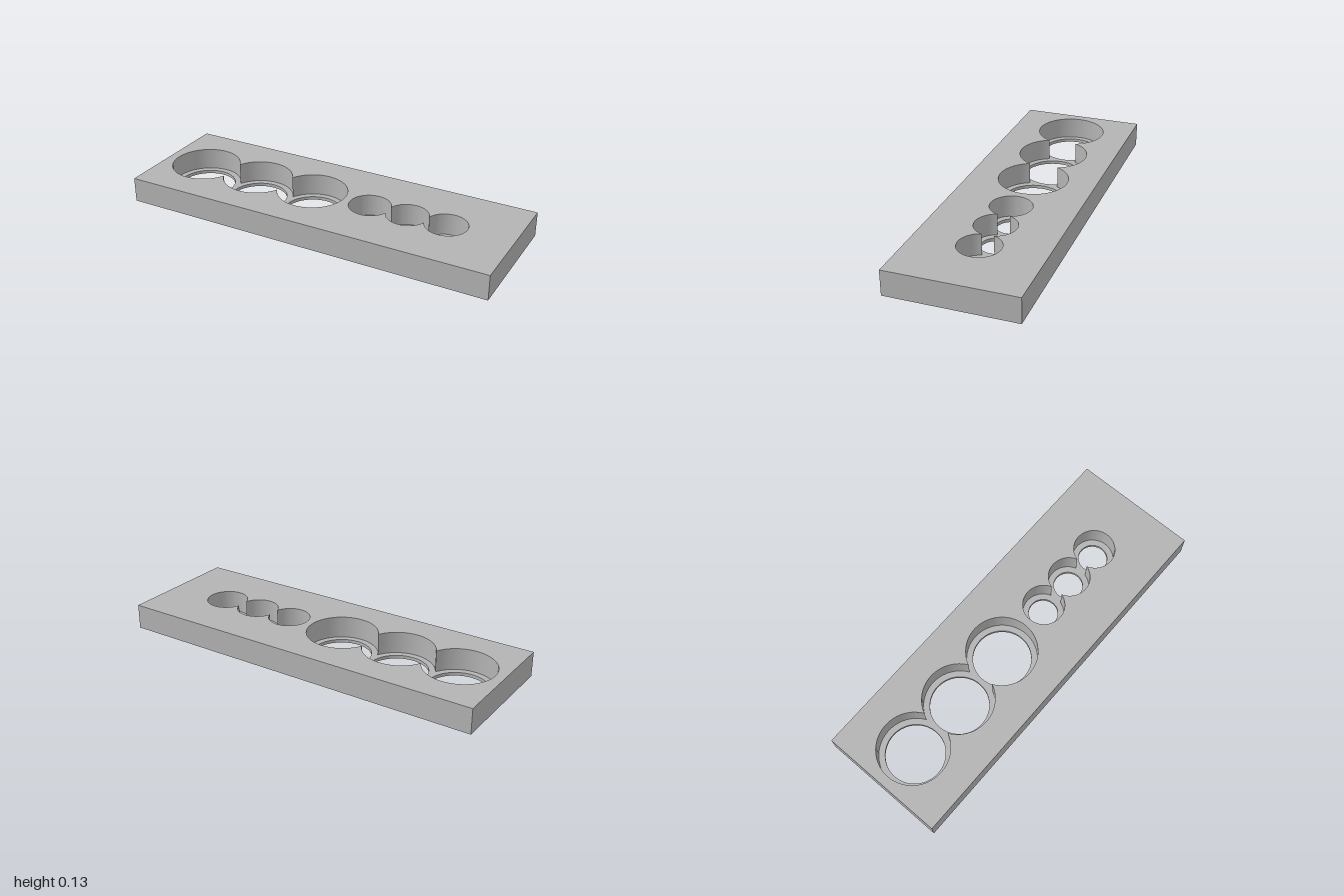
import * as THREE from 'three';
import { mergeGeometries, toCreasedNormals } from 'three/addons/utils/BufferGeometryUtils.js';

const LENGTH = 2, WIDTH = 0.667, HEIGHT = 0.133, LEDGE = 0.0175;

// Two rows of three overlapping pockets, each with a smaller through hole
const rows = [
  { name: 'large', xs: [-0.767, -0.433, -0.1], pocket: 0.184, hole: 0.152 },
  { name: 'small', xs: [0.233, 0.441, 0.65], pocket: 0.109, hole: 0.077 },
];

// Points along an arc, leaving out the last one
function arc(cx, r, from, to) {
  const n = Math.ceil((to - from) / (Math.PI * 2) * 72);
  return Array.from({ length: n }, (_, i) => {
    const t = from + (to - from) * i / n;
    return new THREE.Vector2(cx + r * Math.cos(t), r * Math.sin(t));
  });
}

const circle = (cx, r) => arc(cx, r, 0, Math.PI * 2);

// Counter-clockwise outline of three overlapping circles
function tripleOutline([x0, x1, x2], r) {
  const a = Math.acos((x1 - x0) / 2 / r), b = Math.acos((x2 - x1) / 2 / r), P = Math.PI;
  return [
    ...arc(x0, r, a, 2 * P - a),
    ...arc(x1, r, P + a, 2 * P - b),
    ...arc(x2, r, P + b, 3 * P - b),
    ...arc(x1, r, b, P - a),
  ];
}

// Flat horizontal face with holes, facing up or down
function face(outline, holes, y, up) {
  const shape = new THREE.Shape(outline);
  shape.holes = holes.map((h) => new THREE.Path(h));
  const g = new THREE.ShapeGeometry(shape);
  g.rotateX(up ? -Math.PI / 2 : Math.PI / 2);
  return g.translate(0, y, 0);
}

// Upright wall along a closed outline; inward walls line an opening
function wall(outline, y0, y1, inward) {
  const pts = inward ? [...outline].reverse() : outline;
  const pos = [];
  pts.forEach((a, i) => {
    const b = pts[(i + 1) % pts.length];
    pos.push(a.x, y0, -a.y, b.x, y0, -b.y, b.x, y1, -b.y);
    pos.push(a.x, y0, -a.y, b.x, y1, -b.y, a.x, y1, -a.y);
  });
  const g = new THREE.BufferGeometry();
  g.setAttribute('position', new THREE.Float32BufferAttribute(pos, 3));
  return toCreasedNormals(g, 0.4);
}

export function createModel() {
  const model = new THREE.Group();
  model.name = 'holderPlate';
  const grey = new THREE.MeshStandardMaterial({ color: 0xb3b3b3 });
  grey.name = 'grey';
  const add = (name, geometry) => {
    const mesh = new THREE.Mesh(geometry, grey);
    mesh.name = name;
    model.add(mesh);
  };

  const L = LENGTH / 2, W = WIDTH / 2;
  const block = [[-L, -W], [L, -W], [L, W], [-L, W]].map(([x, y]) => new THREE.Vector2(x, y));
  const pockets = rows.map((row) => tripleOutline(row.xs, row.pocket));
  const holes = rows.map((row) => row.xs.map((x) => circle(x, row.hole)));

  // Outside of the block
  add('topFace', face(block, pockets, HEIGHT, true));
  add('bottomFace', face(block, holes.flat(), 0, false));
  add('outerSides', wall(block, 0, HEIGHT, false));

  // Stepped openings
  rows.forEach((row, i) => {
    add(row.name + 'PocketWall', wall(pockets[i], LEDGE, HEIGHT, true));
    add(row.name + 'PocketLedge', face(pockets[i], holes[i], LEDGE, true));
    add(row.name + 'HoleWalls', mergeGeometries(holes[i].map((h) => wall(h, 0, LEDGE, true))));
  });
  return model;
}
